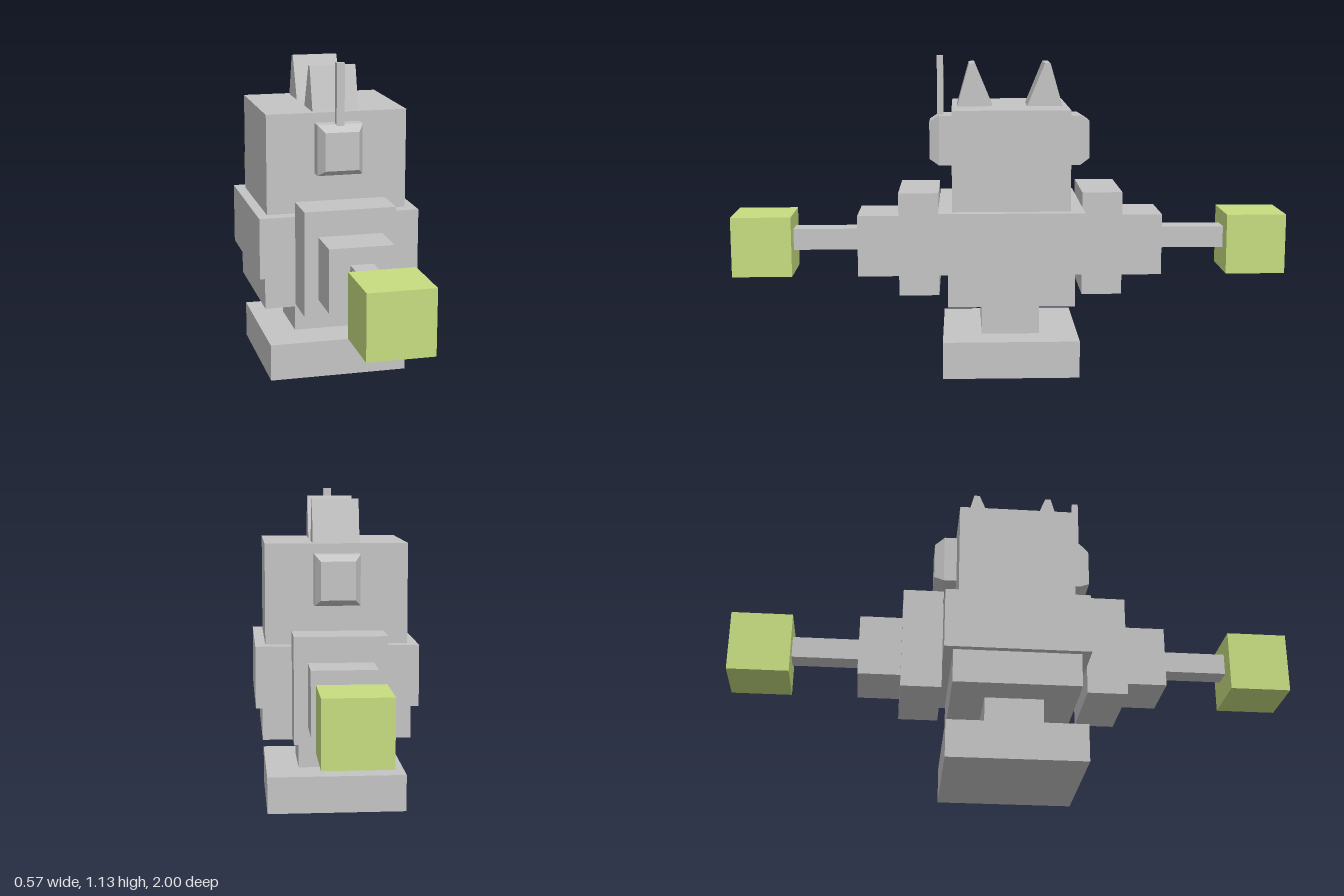
import * as THREE from 'three';

const grey = new THREE.MeshStandardMaterial({ color: 0xc4c4c4 });
grey.name = 'grey';
const green = new THREE.MeshStandardMaterial({ color: 0xc7dd80 });
green.name = 'green';

// Box given by half width in x and its extents in y and z
function block(name, halfX, [y0, y1], [z0, z1], material = grey) {
  const geometry = new THREE.BoxGeometry(halfX * 2, y1 - y0, z1 - z0);
  geometry.translate(0, (y0 + y1) / 2, (z0 + z1) / 2);
  const mesh = new THREE.Mesh(geometry, material);
  mesh.name = name;
  return mesh;
}

// Move the vertices of a block by a rule, keeping its faces flat
function reshape(mesh, rule) {
  const p = mesh.geometry.attributes.position;
  const v = new THREE.Vector3();
  for (let i = 0; i < p.count; i++) {
    rule(v.fromBufferAttribute(p, i));
    p.setXYZ(i, v.x, v.y, v.z);
  }
  mesh.geometry.computeVertexNormals();
  return mesh;
}

// Everything that repeats at the front and the back
function createSide(name) {
  const side = new THREE.Group();
  side.name = name;
  side.add(
    // Arm
    block('shoulder', 0.16, [0.285, 0.655], [0.255, 0.398]),
    block('upperArm', 0.112, [0.345, 0.566], [0.398, 0.548]),
    block('forearm', 0.04, [0.43, 0.507], [0.548, 0.785]),
    block('hand', 0.11, [0.345, 0.562], [0.785, 1], green),
    // Ear pad with a bevelled cap
    block('earPad', 0.08, [0.742, 0.92], [0.207, 0.253]),
    reshape(block('earCap', 0.08, [0.742, 0.92], [0.253, 0.288]), (v) => {
      if (v.z > 0.27) {
        v.x *= 0.75;
        v.y = v.y > 0.83 ? 0.898 : 0.764;
      }
    }),
    // Wedge on top of the head, steeper on the outside
    reshape(block('headWedge', 0.082, [0.955, 1.107], [0.062, 0.188]), (v) => {
      if (v.y > 1) v.z = v.z > 0.12 ? 0.145 : 0.125;
    }),
  );
  return side;
}

export function createModel() {
  const model = new THREE.Group();
  model.name = 'robot';
  // Central stack
  model.add(
    block('base', 0.248, [0, 0.133], [-0.243, 0.243]),
    block('waist', 0.13, [0.133, 0.265], [-0.104, 0.104]),
    block('lowerBody', 0.262, [0.265, 0.385], [-0.223, 0.223]),
    block('chest', 0.286, [0.385, 0.602], [-0.255, 0.255]),
    block('head', 0.25, [0.602, 0.955], [-0.207, 0.207]),
  );
  // Front and back sides
  const back = createSide('backSide');
  back.rotation.y = Math.PI;
  model.add(createSide('frontSide'), back);
  // Antenna standing on the front ear
  model.add(block('antenna', 0.014, [0.915, 1.132], [0.237, 0.26]));
  return model;
}
